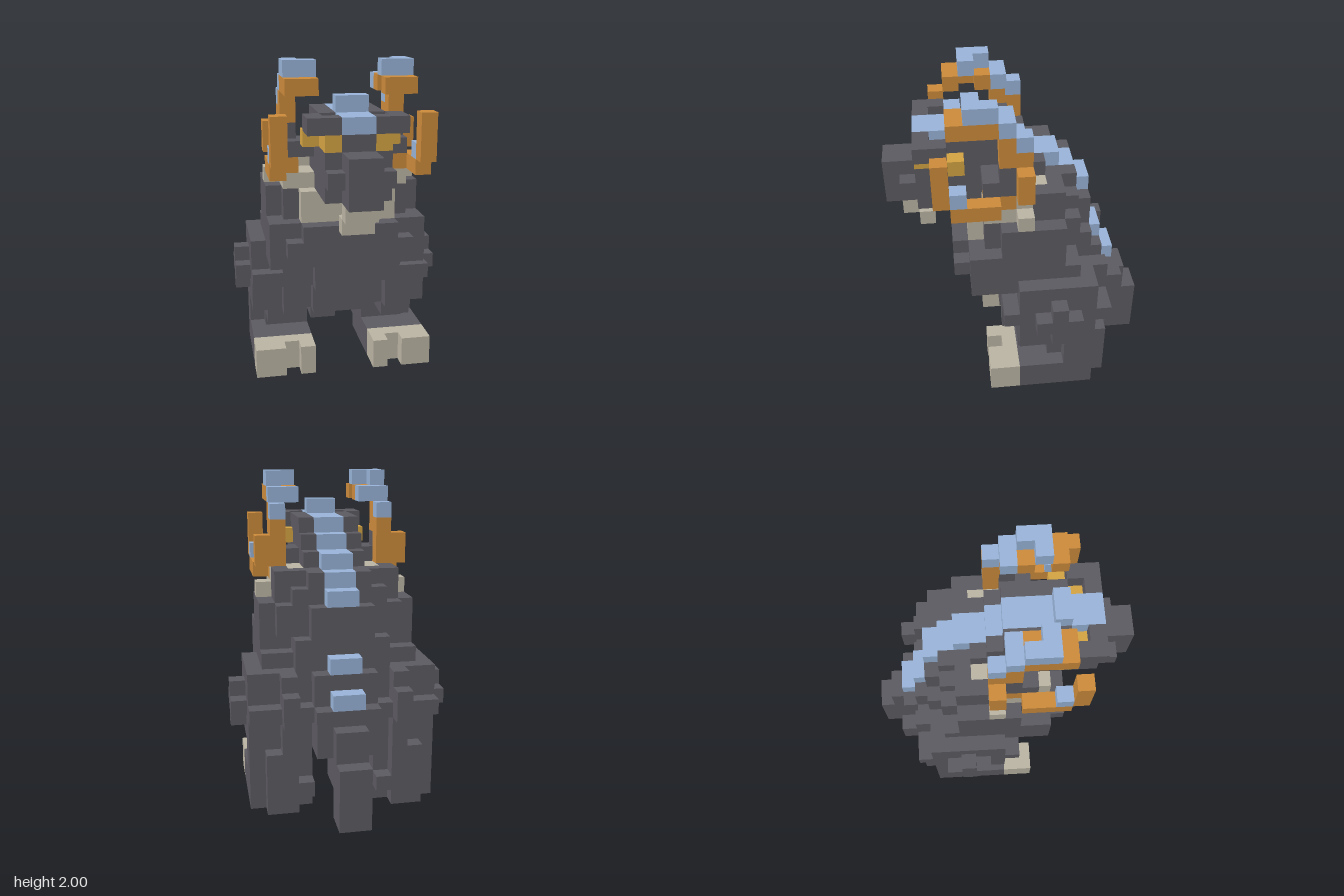
import * as THREE from 'three';
import { mergeGeometries } from 'three/addons/utils/BufferGeometryUtils.js';

const U = 2 / 21; // size of one cube
const makeMaterial = (name, color) => {
  const m = new THREE.MeshStandardMaterial({ color });
  m.name = name;
  return m;
};

export function createModel() {
  const charcoal = makeMaterial('charcoal', 0x5d5b62);
  const blue = makeMaterial('dusty blue', 0x99b4d9);
  const orange = makeMaterial('horn orange', 0xcd8b3b);
  const beige = makeMaterial('beige', 0xbbb5a4);
  const yellow = makeMaterial('eye yellow', 0xd4a443);
  const materials = {
    body: charcoal, haunches: charcoal, legs: charcoal, tail: charcoal, head: charcoal, ears: charcoal,
    crest: blue, hornTips: blue, horns: orange, toes: beige, throat: beige, jaw: beige, eyes: yellow,
  };

  // Cubes live on a grid; each cell remembers its part. All parts are mirrored in x.
  const cells = new Map();
  const key = (x, y, z) => `${x},${y},${z}`;
  const fill = (part, x0, x1, y0, y1, z0, z1) => {
    for (let x = x0; x < x1; x++)
      for (let y = y0; y < y1; y++)
        for (let z = z0; z < z1; z++)
          for (const mx of [x, -1 - x]) {
            if (part) cells.set(key(mx, y, z), part);
            else cells.delete(key(mx, y, z));
          }
  };

  // Haunches: blocky ellipsoids with knobbly outer cubes
  for (let x = 0; x < 7; x++)
    for (let y = 3; y < 10; y++)
      for (let z = 3; z < 10; z++) {
        const d = [Math.abs(x - 3), Math.abs(y - 6), Math.abs(z - 6)];
        const knob = Math.max(...d) < 3 || Math.min(...d) === 0;
        if (knob && d[0] ** 2 + d[1] ** 2 + (0.9 * d[2]) ** 2 < 11.5 && (y > 3 || x > 1))
          fill('haunches', x, x + 1, y, y + 1, z, z + 1);
      }
  fill('haunches', 3, 4, 6, 8, 2, 3);

  // Torso, chest and neck: [halfWidth, y0, y1, z0, z1]
  for (const [w, y0, y1, z0, z1] of [
    [2, 4, 6, 2, 10], [2, 6, 7, 2, 11], [2, 7, 8, 3, 11], [4, 6, 8, 4, 10],
    [2, 8, 9, 3, 12], [5, 8, 9, 5, 12], [3, 9, 10, 4, 12], [5, 9, 10, 5, 12],
    [4, 9, 10, 12, 13], [3, 10, 11, 12, 13], [5, 10, 11, 6, 12], [3, 10, 11, 4, 12],
    [2, 11, 13, 4, 11], [4, 11, 13, 5, 11], [5, 11, 13, 6, 10],
    [3, 13, 14, 5, 10], [2, 14, 15, 5, 10], [3, 14, 15, 6, 8], [4, 13, 15, 6, 8], [2, 15, 16, 7, 10],
  ]) fill('body', 0, w, y0, y1, z0, z1);

  // Legs, narrow heels and feet with notched toes
  fill('legs', 2, 6, 2, 4, 4, 6);
  fill('legs', 2, 5, 2, 3, 6, 7);
  fill('legs', 3, 5, 3, 4, 6, 9);
  fill('legs', 2, 6, 0, 2, 4, 9);
  fill('legs', 3, 5, 0, 4, 3, 4);
  fill('legs', 2, 3, 1, 2, 3, 4);
  fill('toes', 2, 6, 0, 2, 9, 11);
  fill(null, 3, 4, 0, 2, 10, 11);

  // Tail
  fill('tail', 0, 1, 0, 4, 0, 2);
  fill('tail', 0, 1, 2, 6, 1, 3);
  fill('tail', 0, 1, 2, 4, 3, 4);

  // Throat and cheeks
  fill('throat', 0, 3, 11, 13, 11, 12);
  fill('throat', 0, 3, 12, 13, 10, 11);
  fill('throat', 2, 4, 13, 14, 8, 11);
  fill('throat', 4, 5, 13, 14, 8, 9);
  fill('throat', 3, 4, 14, 15, 8, 9);
  fill('throat', 2, 3, 14, 15, 7, 9);

  // Head, muzzle and brow
  fill('head', 0, 2, 13, 17, 9, 13);
  fill('head', 0, 2, 17, 18, 9, 13);
  fill('head', 0, 2, 15, 17, 8, 9);
  fill('head', 0, 2, 13, 16, 13, 15);
  fill('head', 0, 1, 16, 17, 13, 15);
  fill('head', 0, 1, 13, 16, 15, 17);
  fill('head', 1, 2, 14, 15, 15, 16);
  fill('head', 1, 3, 17, 18, 14, 15);
  fill('head', 2, 3, 17, 18, 13, 14);
  fill('ears', 2, 4, 15, 16, 9, 11);
  fill('ears', 3, 4, 16, 17, 9, 10);
  fill('jaw', 0, 1, 12, 13, 15, 16);
  fill('jaw', 0, 1, 11, 12, 14, 15);
  fill('eyes', 1, 2, 16, 17, 13, 15);
  fill('eyes', 2, 3, 16, 17, 12, 13);

  // Crest stepping down the back: [y, z0, z1]
  for (const [y, z0, z1] of [
    [17, 9, 15], [18, 12, 13], [16, 8, 9], [15, 6, 8], [14, 5, 6], [13, 4, 5], [9, 3, 4], [7, 2, 3],
  ]) fill('crest', 0, 1, y, y + 1, z0, z1);

  // Horns: lower hook, stepped rear post and upper curl
  fill('horns', 3, 4, 14, 15, 9, 11);
  fill('horns', 4, 5, 14, 15, 10, 13);
  fill('horns', 4, 5, 15, 18, 13, 14);
  fill('horns', 4, 5, 15, 17, 8, 9);
  fill('horns', 3, 4, 15, 18, 8, 9);
  fill('horns', 3, 4, 17, 19, 9, 10);
  fill('horns', 3, 4, 19, 20, 10, 13);
  fill('horns', 2, 3, 19, 20, 12, 13);
  fill('horns', 2, 3, 19, 20, 10, 11);
  fill('hornTips', 4, 5, 15, 16, 12, 13);
  fill('hornTips', 3, 4, 18, 19, 8, 9);
  fill('hornTips', 2, 4, 19, 20, 9, 10);
  fill('hornTips', 3, 4, 20, 21, 10, 12);
  fill('hornTips', 2, 3, 20, 21, 11, 12);

  // Outward cube faces: direction and a ready-turned square
  const faces = [
    [0, 0, 1, 0, 0], [0, 0, -1, 0, Math.PI], [1, 0, 0, 0, Math.PI / 2],
    [-1, 0, 0, 0, -Math.PI / 2], [0, 1, 0, -Math.PI / 2, 0], [0, -1, 0, Math.PI / 2, 0],
  ].map(([dx, dy, dz, rx, ry]) => ({
    dx, dy, dz,
    square: new THREE.PlaneGeometry(U, U).rotateX(rx).rotateY(ry).translate(dx * U / 2, dy * U / 2, dz * U / 2),
  }));

  // One mesh per part, made only of exposed faces
  const geometries = {};
  for (const [k, part] of cells) {
    const [x, y, z] = k.split(',').map(Number);
    for (const { dx, dy, dz, square } of faces) {
      if (cells.has(key(x + dx, y + dy, z + dz))) continue;
      (geometries[part] ??= []).push(square.clone().translate((x + 0.5) * U, (y + 0.5) * U, (z - 8) * U));
    }
  }
  const group = new THREE.Group();
  group.name = 'hornedBeast';
  for (const part in geometries) {
    const mesh = new THREE.Mesh(mergeGeometries(geometries[part]), materials[part]);
    mesh.name = part;
    group.add(mesh);
  }
  return group;
}
